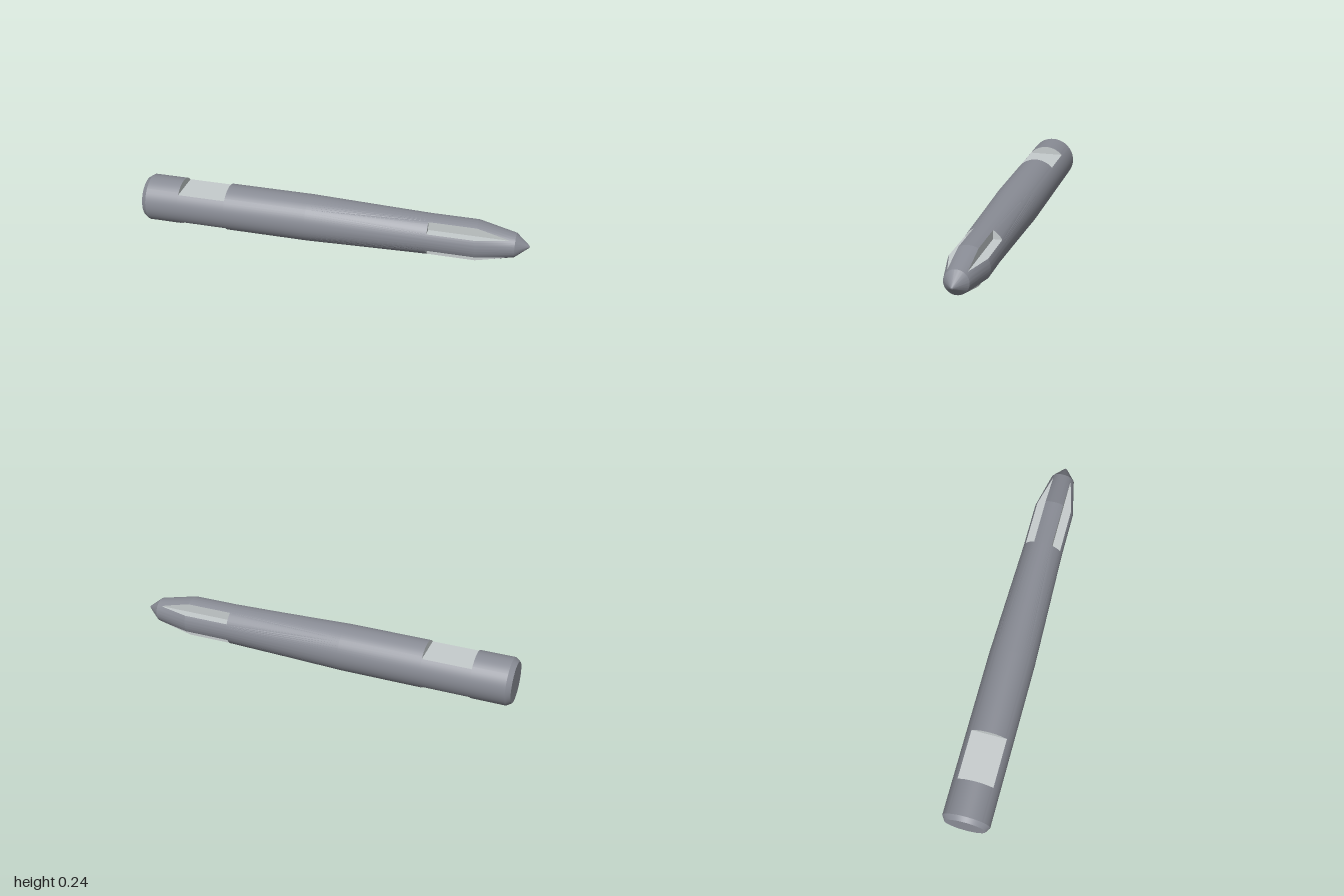
import * as THREE from 'three';
import { toCreasedNormals } from 'three/addons/utils/BufferGeometryUtils.js';

const STEPS = 8;            // steps per part of a quadrant
const FLAT = 0.08;          // half thickness across the shank flats
const WING = 0.047;         // half width of the four tip ribs
const AXIS = 0.12;          // height of the long axis

// Ring angles, with breaks exactly where a cut meets the round surface
function ringAngles(radius, a) {
  const k = Math.asin(Math.min(Math.SQRT1_2, a / radius));
  const breaks = [0, k, Math.PI / 4, Math.PI / 2 - k, Math.PI / 2];
  const angles = [];
  for (let q = 0; q < 4; q++) {
    // odd quadrants run backwards so the flats stay symmetric
    const b = q % 2 ? breaks.map(v => Math.PI / 2 - v).reverse() : breaks;
    for (let p = 0; p < 4; p++)
      for (let s = 0; s < STEPS; s++)
        angles.push(q * Math.PI / 2 + b[p] + (b[p + 1] - b[p]) * s / STEPS);
  }
  return angles;
}

function ring(x, radius, a, cut = null) {
  const points = ringAngles(radius, a).map(t => {
    const c = Math.abs(Math.cos(t)), s = Math.abs(Math.sin(t));
    let r = radius;
    if (cut === 'flat') r = Math.min(r, a / Math.max(s, 1e-6));
    if (cut === 'notch') r = Math.min(r, a / Math.max(Math.min(c, s), 1e-6));
    return new THREE.Vector3(x, AXIS + r * Math.sin(t), r * Math.cos(t));
  });
  return { points, cut };
}

// Is this segment of the ring inside the machined zone?
function inCut(cut, j) {
  const q = Math.floor(j / (4 * STEPS));
  const p = Math.floor(j / STEPS) % 4;
  if (cut === 'notch') return p === 1 || p === 2;
  if (cut === 'flat') return q % 2 ? p < 3 : p > 0;
  return false;
}

function skin(rings, wantCut) {
  const out = [];
  const tri = (a, b, c) => {
    const n = b.clone().sub(a).cross(c.clone().sub(a));
    if (n.length() > 1e-9) out.push(...a, ...b, ...c);
  };
  for (let i = 0; i < rings.length - 1; i++) {
    const A = rings[i], B = rings[i + 1], n = A.points.length;
    for (let j = 0; j < n; j++) {
      if (inCut(A.cut || B.cut, j) !== wantCut) continue;
      const k = (j + 1) % n;
      tri(A.points[j], B.points[j], B.points[k]);
      tri(A.points[j], B.points[k], A.points[k]);
    }
  }
  const g = new THREE.BufferGeometry();
  g.setAttribute('position', new THREE.Float32BufferAttribute(out, 3));
  return toCreasedNormals(g, 0.17);
}

export function createModel() {
  const group = new THREE.Group();
  group.name = 'taperedBit';

  // Shank with chamfered end and two flats, then the long taper
  const rings = [
    ring(-1, 0, FLAT), ring(-1, 0.103, FLAT), ring(-0.975, 0.12, FLAT),
    ring(-0.8, 0.12, FLAT), ring(-0.8, 0.12, FLAT, 'flat'),
    ring(-0.55, 0.12, FLAT, 'flat'), ring(-0.55, 0.12, FLAT),
    ring(-0.12, 0.12, FLAT), ring(0.5, 0.103, WING),
    ring(0.5, 0.103, WING, 'notch'),
  ];
  // Cross-shaped tip: notches run out where the cone gets narrow enough
  const runOut = 0.74 + (0.103 - WING * Math.SQRT2) / 0.042 * 0.19;
  for (let i = 0; i <= 8; i++) {
    const x = 0.74 + (runOut - 0.74) * i / 8;
    rings.push(ring(x, 0.103 - (x - 0.74) * 0.042 / 0.19, WING, 'notch'));
  }
  // Point
  rings.push(ring(0.93, 0.061, WING), ring(0.985, 0.016, WING),
    ring(0.996, 0.007, WING), ring(1, 0, WING));

  const add = (name, cut, color) => {
    const mesh = new THREE.Mesh(skin(rings, cut), new THREE.MeshStandardMaterial({ color }));
    mesh.name = name;
    group.add(mesh);
  };
  add('body', false, 0x898c95);
  add('machinedCuts', true, 0xc6cccd);
  return group;
}
